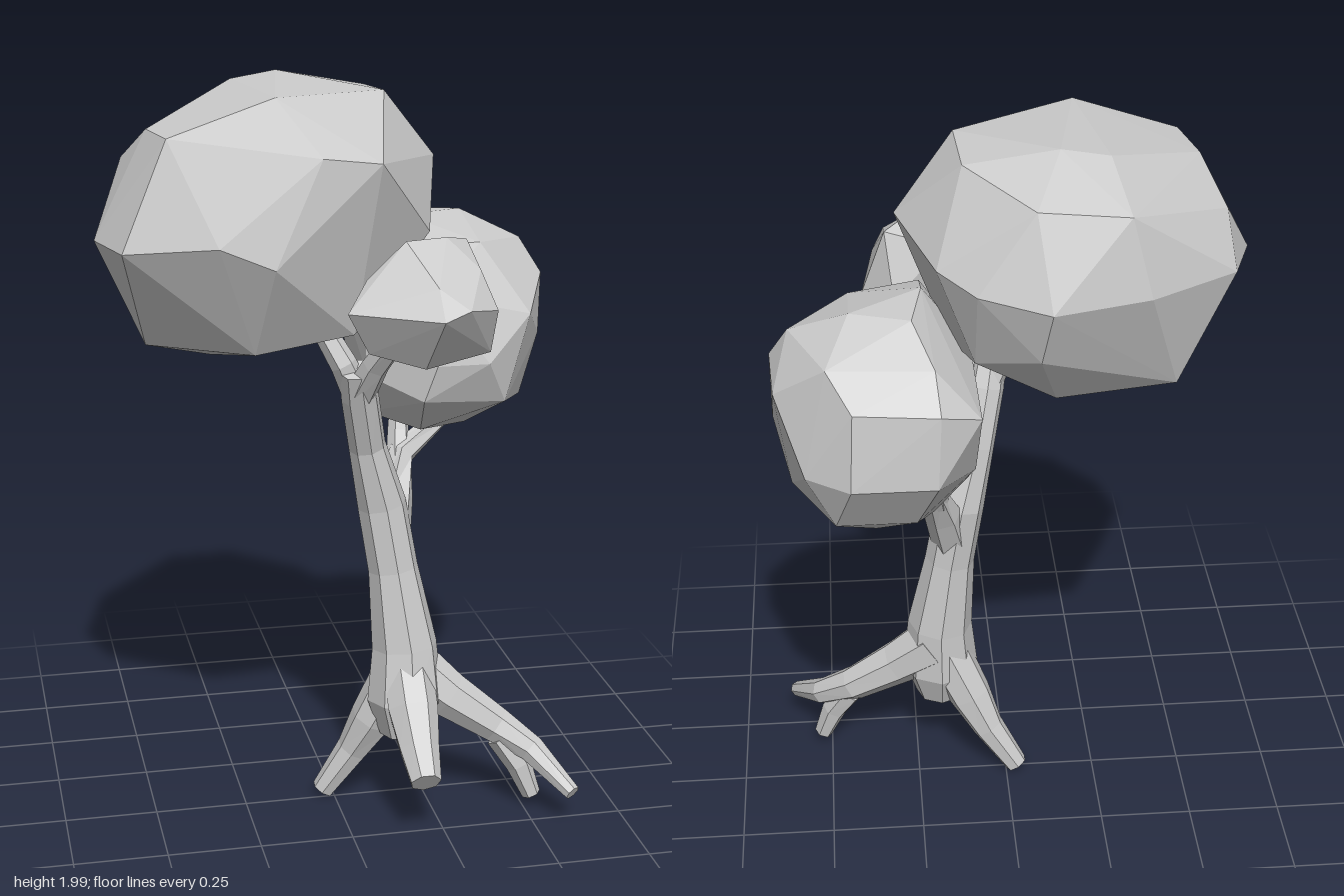
import * as THREE from 'three';
import { ConvexGeometry } from 'three/addons/geometries/ConvexGeometry.js';

const material = new THREE.MeshStandardMaterial({ color: 0xcccccc, flatShading: true });

// Faceted clump of leaves: the hull around [x, y, z] points
function clump(name, points) {
  const mesh = new THREE.Mesh(new ConvexGeometry(points.map(p => new THREE.Vector3(...p))), material);
  mesh.name = name;
  return mesh;
}

// Tapering limb through [x, y, z, radius] stations, closed at both ends
function limb(name, stations, sides = 7) {
  const centres = stations.map(s => new THREE.Vector3(s[0], s[1], s[2]));
  const positions = [], indices = [];
  const last = centres.length - 1;
  const tangent = new THREE.Vector3(), u = new THREE.Vector3(), v = new THREE.Vector3();
  u.subVectors(centres[last], centres[0]).normalize();
  const ref = Math.abs(u.z) < 0.7 ? new THREE.Vector3(0, 0, 1) : new THREE.Vector3(1, 0, 0);
  centres.forEach((c, i) => {
    tangent.subVectors(centres[Math.min(i + 1, last)], centres[Math.max(i - 1, 0)]).normalize();
    u.crossVectors(ref, tangent).normalize();
    v.crossVectors(tangent, u);
    for (let k = 0; k < sides; k++) {
      const a = (k / sides) * Math.PI * 2, r = stations[i][3];
      const p = c.clone().addScaledVector(u, r * Math.cos(a)).addScaledVector(v, r * Math.sin(a));
      positions.push(p.x, p.y, p.z);
    }
  });
  positions.push(...centres[0].toArray(), ...centres[last].toArray());
  const bottom = (last + 1) * sides, top = bottom + 1;
  for (let k = 0; k < sides; k++) {
    const n = (k + 1) % sides;
    for (let i = 0; i < last; i++) {
      const a = i * sides + k, b = i * sides + n;
      indices.push(a, b, b + sides, a, b + sides, a + sides);
    }
    indices.push(bottom, n, k, top, last * sides + k, last * sides + n);
  }
  const geometry = new THREE.BufferGeometry();
  geometry.setAttribute('position', new THREE.Float32BufferAttribute(positions, 3));
  geometry.setIndex(indices);
  geometry.computeVertexNormals();
  const mesh = new THREE.Mesh(geometry, material);
  mesh.name = name;
  return mesh;
}

export function createModel() {
  const tree = new THREE.Group();
  tree.name = 'tree';

  // Trunk, leaning back and to one side as it rises
  tree.add(limb('trunk', [
    [0.18, 0.23, 0.09, 0.07], [0.18, 0.33, 0.085, 0.105], [0.18, 0.48, 0.07, 0.09],
    [0.15, 0.7, 0.055, 0.068], [0.12, 0.88, 0.045, 0.066], [0.075, 1.05, 0.065, 0.05],
    [0.045, 1.2, 0.11, 0.05], [0.03, 1.28, 0.14, 0.045],
  ], 8));

  // Roots spreading from the base
  const roots = new THREE.Group();
  roots.name = 'roots';
  roots.add(
    limb('rightRoot', [[0.18, 0.42, 0.06, 0.07], [0.1, 0.25, 0.03, 0.062], [0.05, 0.15, 0.005, 0.045], [-0.03, 0.025, -0.015, 0.032]]),
    limb('frontRoot', [[0.18, 0.45, 0.07, 0.07], [0.18, 0.33, 0.17, 0.07], [0.18, 0.25, 0.25, 0.055], [0.18, 0.19, 0.33, 0.042]]),
    limb('leftRoot', [[0.19, 0.42, 0.06, 0.08], [0.3, 0.33, 0.09, 0.065], [0.43, 0.24, 0.12, 0.05], [0.52, 0.18, 0.17, 0.038], [0.6, 0.1, 0.295, 0.022]]),
    limb('leftRootTwig', [[0.44, 0.21, 0.13, 0.04], [0.49, 0.13, 0.15, 0.036], [0.525, 0.04, 0.16, 0.026]], 6),
  );
  tree.add(roots);

  // Branches reaching into the leaves
  const branches = new THREE.Group();
  branches.name = 'branches';
  branches.add(
    limb('largeClumpBranch', [[0.045, 1.19, 0.11, 0.04], [0.0, 1.29, 0.12, 0.035], [-0.07, 1.42, 0.08, 0.028]], 6),
    limb('smallClumpBranch', [[0.04, 1.2, 0.11, 0.045], [0.07, 1.3, 0.18, 0.036], [0.13, 1.43, 0.28, 0.028]], 6),
    limb('mediumClumpBranch', [[0.145, 0.76, 0.045, 0.055], [0.17, 0.88, -0.01, 0.05], [0.2, 0.98, -0.075, 0.038], [0.33, 1.06, -0.14, 0.026]], 6),
    limb('mediumClumpTwig', [[0.19, 0.95, -0.06, 0.035], [0.2, 1.03, -0.11, 0.03], [0.21, 1.12, -0.15, 0.024]], 6),
  );
  tree.add(branches);

  // Leaf clumps
  tree.add(clump('largeLeafClump', [
    [-0.11, 2, -0.23], [-0.23, 1.98, -0.23], [0.12, 1.96, -0.21], [0.13, 1.97, -0.01],
    [-0.18, 1.98, 0.16], [-0.45, 1.89, 0.17], [-0.48, 1.89, 0], [-0.53, 1.8, -0.14],
    [-0.04, 1.92, -0.41], [-0.26, 1.9, -0.41], [-0.62, 1.62, 0.03], [-0.54, 1.68, -0.25],
    [-0.31, 1.7, -0.43], [-0.07, 1.7, -0.5], [0.1, 1.72, -0.43], [0.19, 1.75, -0.34],
    [0.28, 1.79, -0.08], [0.22, 1.63, 0.13], [0.05, 1.84, 0.34], [-0.1, 1.86, 0.36],
    [-0.22, 1.6, 0.385], [-0.35, 1.65, 0.35], [-0.57, 1.62, 0.22], [-0.5, 1.35, 0.05],
    [-0.32, 1.29, -0.05], [0, 1.32, -0.05], [-0.25, 1.36, 0.25], [0, 1.4, 0.25],
    [0.15, 1.45, -0.1], [-0.4, 1.4, -0.28], [-0.1, 1.38, -0.3], [0.1, 1.5, -0.33], [-0.05, 1.55, -0.44],
  ]));
  tree.add(clump('mediumLeafClump', [
    [0.22, 1.62, -0.15], [0.4, 1.61, -0.26], [0.25, 1.61, -0.31], [0.4, 1.56, -0.04], [0.22, 1.57, 0],
    [0.55, 1.54, -0.19], [0.46, 1.53, -0.4], [0.2, 1.53, -0.42], [0.6, 1.45, -0.14], [0.59, 1.42, -0.3],
    [0.4, 1.45, -0.48], [0.19, 1.44, -0.49], [0.09, 1.4, -0.43], [0.25, 1.45, 0.09], [0.1, 1.45, -0.12],
    [0.52, 1.38, 0.04], [0.39, 1.27, 0.12], [0.25, 1.27, 0.12], [0.6, 1.28, -0.15], [0.52, 1.25, -0.42],
    [0.41, 1.25, -0.5], [0.2, 1.25, -0.5], [0.1, 1.21, -0.05], [0.1, 1.2, -0.32], [0.22, 1.17, 0.1],
    [0.45, 1.15, 0.06], [0.56, 1.1, -0.18], [0.45, 1.1, -0.4], [0.25, 1.1, -0.4], [0.12, 1.08, -0.15],
    [0.24, 1.06, -0.02], [0.41, 1.02, -0.2], [0.35, 1.02, -0.29], [0.2, 1.04, -0.25],
  ]));
  tree.add(clump('smallLeafClump', [
    [0.12, 1.64, 0.29], [0.23, 1.64, 0.26], [0.3, 1.62, 0.19], [0.15, 1.59, 0.15], [0.02, 1.55, 0.3],
    [0.17, 1.55, 0.43], [0.3, 1.57, 0.33], [-0.04, 1.48, 0.36], [0.17, 1.48, 0.495], [0.24, 1.5, 0.47],
    [0.33, 1.48, 0.39], [0.365, 1.43, 0.22], [0.28, 1.45, 0.13], [0.03, 1.45, 0.2], [0.02, 1.37, 0.33],
    [0.15, 1.34, 0.39], [0.33, 1.36, 0.33], [0.3, 1.36, 0.23], [0.14, 1.35, 0.26],
  ]));
  return tree;
}
